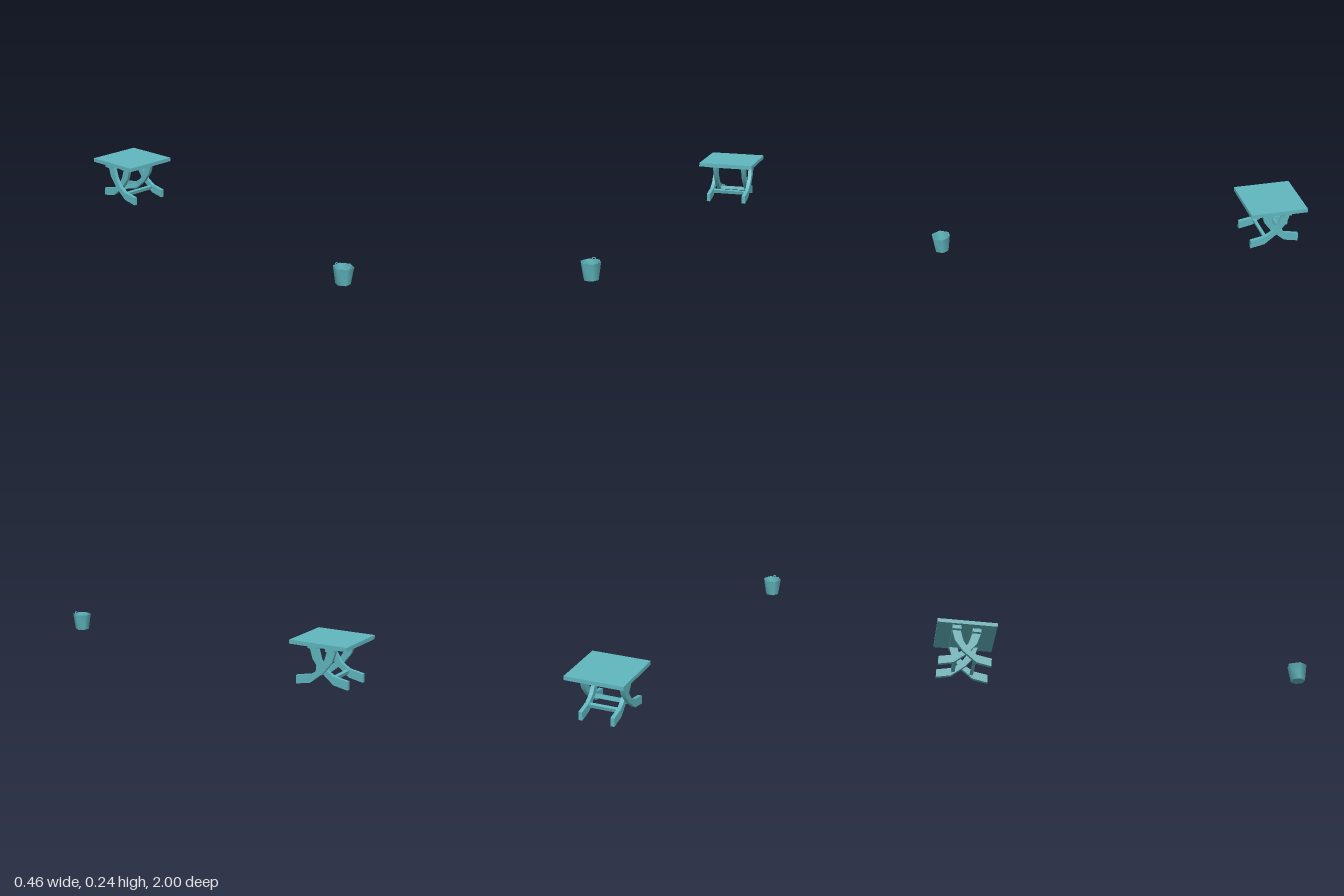
import * as THREE from 'three';
import { toCreasedNormals } from 'three/addons/utils/BufferGeometryUtils.js';

const paint = new THREE.MeshStandardMaterial({ color: 0x5fb6be });

function add(parent, name, geometry, x = 0, y = 0, z = 0) {
  const mesh = new THREE.Mesh(geometry, paint);
  mesh.name = name;
  mesh.position.set(x, y, z);
  parent.add(mesh);
  return mesh;
}

// Curved leg: foot on side s (+1 front, -1 back), top on the other side
function legGeometry(s, width) {
  const outline = [
    [0.14, 0], [0.14, 0.045], [0.06, 0.06], [0.015, 0.09], [-0.015, 0.137], [-0.032, 0.194],
    [-0.077, 0.194], [-0.06, 0.137], [-0.015, 0.078], [0.06, 0.016],
  ].map(([z, y]) => new THREE.Vector2(z * s, y));
  const geo = new THREE.ExtrudeGeometry(new THREE.Shape(outline), { depth: width, bevelEnabled: false });
  geo.translate(0, 0, -width / 2).rotateY(-Math.PI / 2);
  return toCreasedNormals(geo, 0.75);
}

function createTable() {
  const table = new THREE.Group();
  table.name = 'table';
  add(table, 'tableTop', new THREE.BoxGeometry(0.32, 0.021, 0.32), 0, 0.2255, 0);

  // Each trestle pair: legs, the rail they carry and the stretcher between them
  const pairs = [
    { name: 'outer', s: 1, legX: 0.1075, rail: 0.28 },
    { name: 'inner', s: -1, legX: 0.0865, rail: 0.236 },
  ];
  for (const { name, s, legX, rail } of pairs) {
    for (const side of [-1, 1]) {
      add(table, name + (side > 0 ? 'LeftLeg' : 'RightLeg'), legGeometry(s, 0.021), side * legX, 0, 0);
    }
    add(table, name + 'Rail', new THREE.BoxGeometry(rail, 0.021, 0.047), 0, 0.2045, -s * 0.0545);
    const stretcher = add(table, name + 'Stretcher',
      new THREE.BoxGeometry(legX * 2 - 0.021, 0.02, 0.017), 0, 0.0455, s * 0.052);
    stretcher.rotation.x = s * 0.25;
  }
  return table;
}

function createBucket() {
  const bucket = new THREE.Group();
  bucket.name = 'bucket';

  // Six-sided tapered shell with a thin wall and a floor
  const profile = [[0, 0], [0.039, 0], [0.053, 0.09], [0.05, 0.09], [0.037, 0.005], [0, 0.005]]
    .map(([r, y]) => new THREE.Vector2(r, y));
  const shell = new THREE.LatheGeometry(profile, 6, Math.PI / 6);
  add(bucket, 'shell', toCreasedNormals(shell, 1.1));

  // Small angular lugs standing on the front and back rims
  const arch = new THREE.Shape([
    [-0.011, -0.003], [-0.011, 0.001], [-0.006, 0.01], [0.006, 0.01], [0.011, 0.001], [0.011, -0.003],
    [0.007, -0.003], [0.007, 0.001], [0.004, 0.0065], [-0.004, 0.0065], [-0.007, 0.001], [-0.007, -0.003],
  ].map(([x, y]) => new THREE.Vector2(x, y)));
  const lug = new THREE.ExtrudeGeometry(arch, { depth: 0.004, bevelEnabled: false });
  lug.translate(0, 0, -0.002);
  for (const side of [-1, 1]) {
    add(bucket, side > 0 ? 'frontLug' : 'backLug', lug, 0, 0.09, side * 0.0438);
  }
  return bucket;
}

export function createModel() {
  const model = new THREE.Group();
  model.name = 'tableAndBucket';
  const table = createTable();
  table.position.set(0.07, 0, -0.84);
  const bucket = createBucket();
  bucket.position.set(-0.18, 0, 0.954);
  model.add(table, bucket);
  return model;
}
